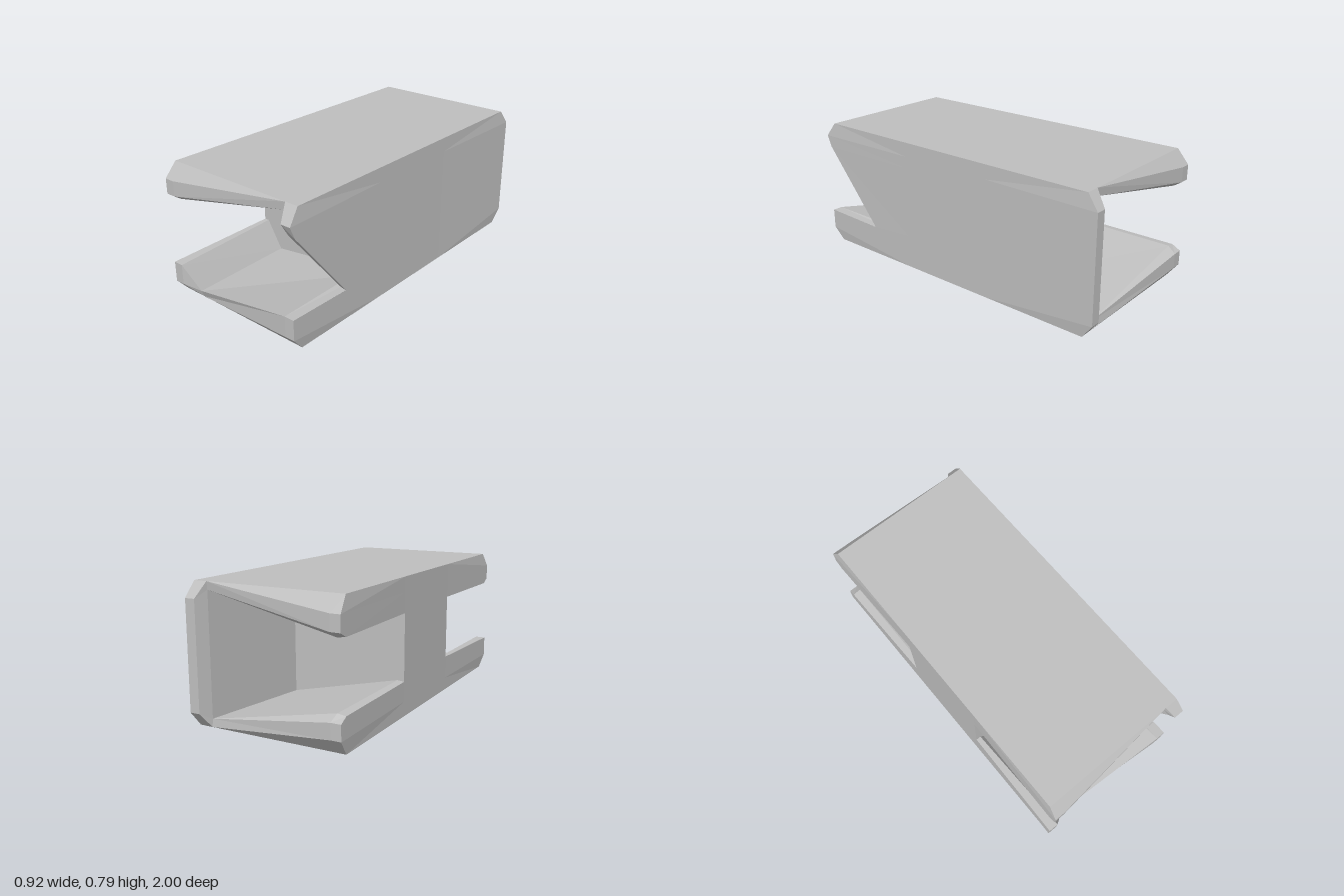
import * as THREE from 'three';

const H = 0.785; // overall height

// Lofts a C-shaped frame. Each station runs: base outer, edge, rim outer, rim inner, lip, base inner.
function loft(stations, back) {
  const pos = [];
  const tri = (a, b, c) => {
    const pts = back ? [a, c, b] : [a, b, c];
    const v = pts.map(p => new THREE.Vector3(p[0], p[1], back ? -p[2] : p[2]));
    const n = v[1].clone().sub(v[0]).cross(v[2].clone().sub(v[0]));
    if (n.length() > 1e-8) v.forEach(p => pos.push(p.x, p.y, p.z));
  };
  const quad = (a, b, c, d) => { tri(a, b, c); tri(a, c, d); };
  for (let i = 0; i + 1 < stations.length; i++) {
    const s = stations[i], t = stations[i + 1];
    for (let k = 0; k < 5; k++) quad(s[k], t[k], t[k + 1], s[k + 1]);
  }
  // close both ends of the C
  const f = stations[0], l = stations[stations.length - 1];
  quad(f[0], f[1], f[4], f[5]);
  quad(f[1], f[2], f[3], f[4]);
  quad(l[5], l[4], l[1], l[0]);
  quad(l[4], l[3], l[2], l[1]);
  const g = new THREE.BufferGeometry();
  g.setAttribute('position', new THREE.Float32BufferAttribute(pos, 3));
  g.computeVertexNormals();
  return g;
}

// Roof stations from the solid side wall across to the open side
function roof(z, wallX, ceilY) {
  const wall = [wallX, ceilY, z], open = [-0.41, 0.58, z];
  const tip = [0.4, 0.7, 1], corner = [0.46, 0.7, 1], lip = [0.37, 0.74, 0.93];
  const notch = [0.37, H, 0.935];
  const armTop = [-0.4, 0.7, 1], armLow = [-0.4, 0.612, 1], armLip = [-0.41, 0.578, 0.95];
  const armCorner = [-0.46, 0.7, 1];
  return [
    [[0.45, 0.7, z], corner, corner, tip, lip, wall],
    [[0.45, H, z], [0.45, H, 0.935], tip, tip, lip, wall],
    [[0.37, H, z], notch, notch, lip, lip, wall],
    [[-0.45, H, z], [-0.45, H, 0.935], armTop, armLow, armLip, open],
    [[-0.45, 0.7, z], armCorner, armCorner, armLow, armLip, open],
    [[-0.45, 0.585, z], [-0.46, 0.585, 0.95], [-0.46, 0.612, 1], armLow, armLip, open],
  ];
}

// Floor and slanted side wall of the front opening
function frontFloor(z) {
  const armIn = [-0.4, 0.195, 1], armBase = [-0.42, 0.21, z];
  const sill = [-0.31, 0, 0.935], sillTop = [-0.31, 0.04, 0.95];
  const right = [0.4, 0.195, 1], base = [0.4, 0.135, z];
  const armTop = [-0.46, 0.195, 1], armLow = [-0.46, 0.075, 1];
  const rLow = [0.46, 0.075, 1], rTop = [0.46, 0.195, 1];
  const cut = [0.455, 0.18, 0.6], cutTop = [0.46, 0.63, 0.97];
  return [
    [[-0.45, 0.21, z], armTop, armTop, armIn, armIn, armBase],
    [[-0.45, 0.075, z], armLow, armLow, armIn, armIn, armBase],
    [[-0.45, 0, z], [-0.45, 0, 0.935], [-0.4, 0.075, 1], armIn, armIn, armBase],
    [[-0.31, 0, z], sill, sill, sillTop, sillTop, [-0.32, 0.045, z]],
    [[0.45, 0, z], [0.45, 0, 0.935], [0.4, 0.075, 1], right, right, base],
    [[0.45, 0.075, z], rLow, rLow, right, right, base],
    [[0.45, 0.17, z], rTop, rTop, right, right, base],
    [[0.45, 0.2, z], cut, cut, [0.41, 0.18, 0.59], [0.385, 0.185, 0.57], base],
    [[0.45, 0.63, z], cutTop, cutTop, [0.405, 0.63, 0.96], [0.375, 0.63, 0.92], [0.38, 0.63, z]],
  ];
}

export function createModel() {
  const group = new THREE.Group();
  const grey = new THREE.MeshStandardMaterial({ color: 0xbfbfbf, flatShading: true });
  grey.name = 'plain grey';
  const add = (name, geometry) => {
    const mesh = new THREE.Mesh(geometry, grey);
    mesh.name = name;
    group.add(mesh);
    return mesh;
  };
  const zFront = 0.31, zBack = 0.29;

  // solid middle between the two openings
  add('middleBlock', new THREE.BoxGeometry(0.9, H, zFront + zBack))
    .position.set(0, H / 2, (zFront - zBack) / 2);

  // front opening: slanted wall, raised arm and lip
  add('frontFrame', loft([...frontFloor(zFront), ...roof(zFront, 0.375, 0.72)], false));

  // back opening: floor mirrors the roof
  const top = roof(zBack, 0.26, 0.735);
  const bottom = top.map(s => s.map(([x, y, z]) => [x, H - y, z])).reverse();
  add('backFrame', loft([...bottom, ...top], true));
  return group;
}
